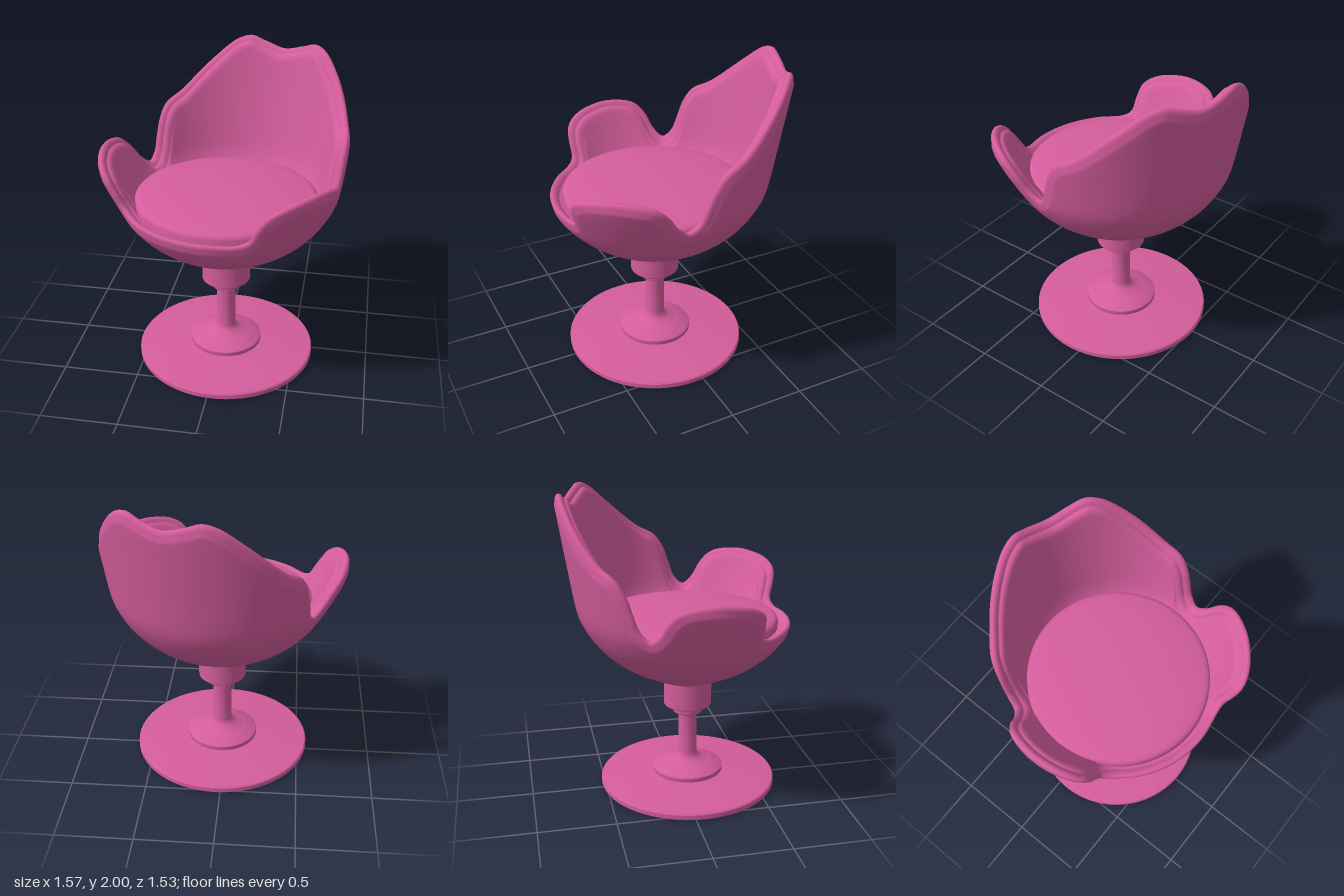
import * as THREE from 'three';
import { toCreasedNormals } from 'three/addons/utils/BufferGeometryUtils.js';

const { lerp, degToRad, smoothstep } = THREE.MathUtils;
const material = new THREE.MeshStandardMaterial({ color: 0xd45d9c });

function lathe(name, points, segments = 96) {
  const geometry = new THREE.LatheGeometry(points.map(([r, y]) => new THREE.Vector2(r, y)), segments);
  const mesh = new THREE.Mesh(toCreasedNormals(geometry, 0.55), material);
  mesh.name = name;
  return mesh;
}

// Smooth lookup of radius by height
function radiusByHeight(profile) {
  const pts = new THREE.SplineCurve(profile.map(([y, r]) => new THREE.Vector2(y, r))).getPoints(240);
  return (y) => {
    let i = 1;
    while (i < pts.length - 1 && pts[i].x < y) i++;
    const a = pts[i - 1], b = pts[i];
    return lerp(a.y, b.y, (y - a.x) / (b.x - a.x));
  };
}

// The bowl is shared; the arms flare out more than the tall back
const bowl = [[0.735, 0.13], [0.76, 0.2], [0.8, 0.285], [0.88, 0.435], [0.97, 0.55], [1.06, 0.63], [1.15, 0.685]];
const armRadius = radiusByHeight([...bowl, [1.25, 0.738], [1.36, 0.79], [1.5, 0.835], [2.05, 0.95]]);
const backRadius = radiusByHeight([...bowl, [1.25, 0.725], [1.5, 0.768], [1.75, 0.808], [2.05, 0.855]]);
const shellRadius = (angle, y) =>
  lerp(armRadius(y), backRadius(y), smoothstep(Math.abs(angle), degToRad(96), degToRad(113)));

// Rim height by angle from the chair's front, for one half
const rimHalf = [
  [0, 1.165], [20, 1.165], [35, 1.168], [40.5, 1.2], [43, 1.29], [46, 1.375], [53, 1.435], [62, 1.465],
  [72, 1.475], [85, 1.44], [91, 1.365], [95.5, 1.27], [101, 1.22], [106, 1.27], [109, 1.37], [112, 1.48],
  [117, 1.575], [127, 1.65], [146, 1.865], [156, 1.97], [163, 2.0], [170, 1.97], [180, 1.935],
];

// Rim section: distance from the edge, depth from the outer surface
const rimSection = [
  [0.075, 0], [0.06, 0.002], [0.045, 0.009], [0.03, 0.012], [0.014, 0.018], [0.004, 0.028], [0, 0.04], [0.004, 0.052],
  [0.014, 0.061], [0.026, 0.064], [0.034, 0.067], [0.033, 0.074], [0.036, 0.084], [0.046, 0.093],
  [0.06, 0.098], [0.075, 0.1],
];

function shellGeometry() {
  const mirrored = rimHalf.slice(1, -1).reverse().map(([a, y]) => [-a, y]);
  const rim = new THREE.CatmullRomCurve3([...rimHalf, ...mirrored].map(([a, y]) => {
    const t = degToRad(a);
    return new THREE.Vector3(0.75 * Math.sin(t), y, 0.75 * Math.cos(t));
  }), true);
  rim.arcLengthDivisions = 1500;

  const columns = 480, wallSteps = 22;
  const positions = [], indices = [];
  let rows = 0;
  for (let i = 0; i < columns; i++) {
    const p = rim.getPointAt(i / columns), t = rim.getTangentAt(i / columns);
    const angle = Math.atan2(p.x, p.z);
    const along = t.x * Math.cos(angle) - t.z * Math.sin(angle);
    const len = Math.hypot(along, t.y);
    // Step inward from the rim, measured square to its edge
    const inset = (d) => [angle + (t.y / len) * d / 0.75, p.y - (along / len) * d];
    const section = [];
    const add = (a, y, depth) => section.push([a, y, depth]);

    const [startA, startY] = inset(rimSection[0][0]);
    for (let k = 0; k < wallSteps; k++) {
      const f = Math.pow(k / wallSteps, 1.5);
      add(lerp(angle, startA, f), lerp(0.735, startY, f), 0);
    }
    for (const [d, depth] of rimSection) add(...inset(d), depth);
    const [endA, endY] = inset(rimSection.at(-1)[0]);
    for (let k = 1; k <= 12; k++) {
      const f = k / 12;
      add(lerp(endA, angle, f), lerp(endY, Math.min(1.12, endY), f), lerp(0.1, 0.12, f));
    }
    rows = section.length;
    for (const [a, y, depth] of section) {
      const wrapped = Math.atan2(Math.sin(a), Math.cos(a));
      const r = shellRadius(wrapped, y) - depth;
      positions.push(r * Math.sin(a), y, r * Math.cos(a));
    }
  }
  for (let i = 0; i < columns; i++) {
    const next = (i + 1) % columns;
    for (let j = 0; j < rows - 1; j++) {
      const a = i * rows + j, b = next * rows + j;
      indices.push(a, b, a + 1, b, b + 1, a + 1);
    }
  }
  const geometry = new THREE.BufferGeometry();
  geometry.setAttribute('position', new THREE.Float32BufferAttribute(positions, 3));
  geometry.setIndex(indices);
  geometry.computeVertexNormals();
  return geometry;
}

export function createModel() {
  const group = new THREE.Group();
  group.name = 'swivelChair';

  // Upholstered shell with padded rim, turned on its pedestal
  const shell = new THREE.Mesh(shellGeometry(), material);
  shell.name = 'shell';
  shell.rotation.y = degToRad(-20);

  // Domed round cushion
  const seat = lathe('seatCushion', [
    [0.57, 1.09], [0.588, 1.11], [0.588, 1.165], [0.583, 1.18], [0.57, 1.191], [0.55, 1.197],
    [0.45, 1.211], [0.3, 1.224], [0.15, 1.232], [0, 1.235],
  ], 128);

  // Pedestal
  const hub = lathe('swivelHub', [[0, 0.56], [0.152, 0.56], [0.16, 0.568], [0.16, 0.77], [0, 0.77]]);
  const collar = lathe('collar', [
    [0.06, 0.485], [0.07, 0.505], [0.093, 0.505], [0.1, 0.512], [0.1, 0.55], [0.11, 0.565], [0, 0.565],
  ]);
  const column = lathe('column', [
    [0.15, 0.14], [0.115, 0.157], [0.085, 0.172], [0.07, 0.188], [0.063, 0.21], [0.062, 0.5],
  ]);
  const foot = lathe('footCone', [[0.235, 0.06], [0.24, 0.08], [0.24, 0.107], [0.232, 0.114], [0.14, 0.145], [0.05, 0.18]]);
  const base = lathe('baseDisc', [[0, 0], [0.59, 0], [0.595, 0.006], [0.595, 0.034], [0.588, 0.042], [0.24, 0.08], [0, 0.085]], 128);

  group.add(shell, seat, hub, collar, column, foot, base);
  for (const part of group.children) part.position.set(0.03, 0, 0.07);
  return group;
}
